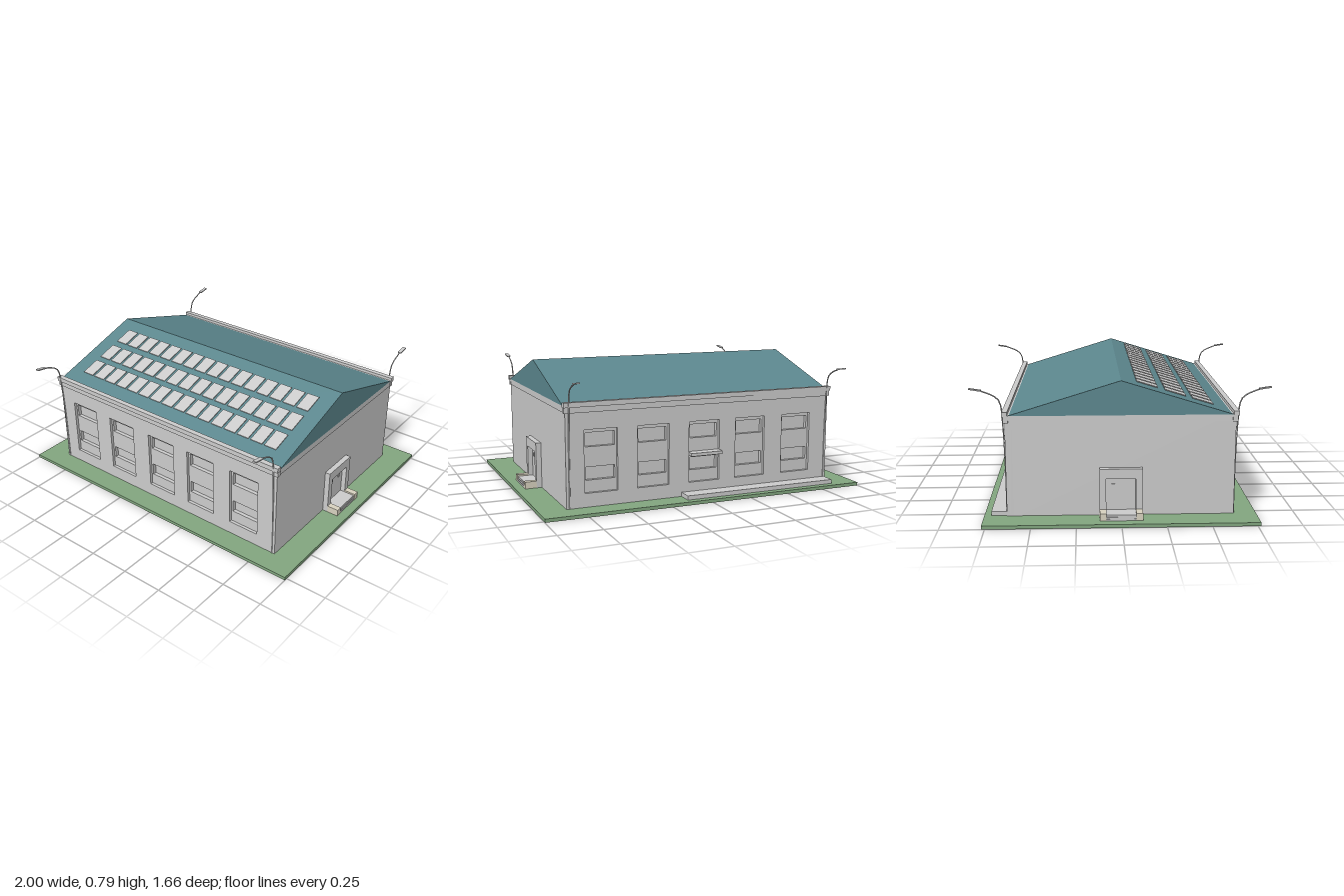
import * as THREE from 'three';

const mat = (color) => new THREE.MeshStandardMaterial({ color, flatShading: true });
const grey = mat(0xcccccc);
const green = mat(0x82a67f);
const teal = mat(0x5c878e);
const beige = mat(0xd8d2c0);

function add(parent, name, geometry, material = grey) {
  const mesh = new THREE.Mesh(geometry, material);
  mesh.name = name;
  parent.add(mesh);
  return mesh;
}

// Box given by its minimum and maximum corners
function box(parent, name, x0, x1, y0, y1, z0, z1, material = grey) {
  const mesh = add(parent, name, new THREE.BoxGeometry(x1 - x0, y1 - y0, z1 - z0), material);
  mesh.position.set((x0 + x1) / 2, (y0 + y1) / 2, (z0 + z1) / 2);
  return mesh;
}

const rect = (Type, x0, x1, y0, y1) => new Type([
  new THREE.Vector2(x0, y0), new THREE.Vector2(x1, y0),
  new THREE.Vector2(x1, y1), new THREE.Vector2(x0, y1),
]);

// Wall sheet with rectangular openings, each [x0, x1, y0, y1]
function sheet(w, y0, y1, openings, depth) {
  const shape = rect(THREE.Shape, -w, w, y0, y1);
  for (const o of openings) shape.holes.push(rect(THREE.Path, ...o));
  return new THREE.ExtrudeGeometry(shape, { depth, bevelEnabled: false });
}

const WALL_X = 0.842, WALL_TOP = 0.6, RIDGE = 0.79, EAVE_Z = 0.625, EAVE_Y = 0.597;
const SLOPE = Math.atan2(RIDGE - EAVE_Y, EAVE_Z);
const windowCentres = [-0.637, -0.322, 0, 0.302, 0.618];

// Long wall: outer sheet with bays, inner sheet with two panes per bay, cornice
function longWall() {
  const g = new THREE.Group();
  g.name = 'longWall';
  const bays = windowCentres.map((c) => [c - 0.098, c + 0.098, 0.1, 0.46]);
  const panes = windowCentres.flatMap((c) => [
    [c - 0.086, c + 0.086, 0.17, 0.245], [c - 0.086, c + 0.086, 0.36, 0.44],
  ]);
  add(g, 'outerWall', sheet(WALL_X, 0, WALL_TOP, bays, 0.018)).position.z = 0.622;
  add(g, 'windowPanels', sheet(WALL_X, 0, WALL_TOP, panes, 0.022)).position.z = 0.6;
  box(g, 'corniceBand', -0.85, 0.85, 0.558, 0.597, 0.62, 0.648);
  box(g, 'gutter', -0.853, 0.853, 0.59, 0.618, 0.624, 0.655);
  return g;
}

// Street lamp at a corner, curving away from the wall
function lamp() {
  const g = new THREE.Group();
  g.name = 'lamp';
  const path = new THREE.CatmullRomCurve3([
    [0.01, 0.641], [0.3, 0.642], [0.55, 0.65], [0.66, 0.66], [0.69, 0.675], [0.715, 0.715], [0.736, 0.77],
  ].map(([y, z]) => new THREE.Vector3(0, y, z)));
  add(g, 'lampPole', new THREE.TubeGeometry(path, 28, 0.004, 6));
  const head = add(g, 'lampHead', new THREE.BoxGeometry(0.022, 0.007, 0.066));
  head.position.set(0, 0.741, 0.797);
  head.rotation.x = -0.16;
  return g;
}

// Side entrance facing +x: portal, double door, steps and cheek blocks
function entrance() {
  const g = new THREE.Group();
  g.name = 'entrance';
  for (const s of [-1, 1]) {
    const z0 = s < 0 ? -0.12 : 0.083, z1 = s < 0 ? -0.083 : 0.12;
    box(g, 'portalPost', 0.835, 0.874, 0.02, 0.297, z0, z1);
    box(g, 'cheekBlock', 0.874, 0.945, 0.02, 0.062, z0, z1, beige);
    box(g, 'doorWindow', 0.84, 0.849, 0.18, 0.204, s * 0.042 - 0.01, s * 0.042 + 0.01);
  }
  box(g, 'portalLintel', 0.835, 0.874, 0.24, 0.297, -0.083, 0.083);
  box(g, 'door', 0.835, 0.845, 0.05, 0.24, -0.083, 0.083);
  [0.03, 0.04, 0.052].forEach((top, i) => {
    box(g, 'step', 0.835, 0.944 - i * 0.003, 0.018, top, -0.083, 0.083);
  });
  return g;
}

export function createModel() {
  const model = new THREE.Group();
  model.name = 'hallBuilding';

  box(model, 'ground', -1, 1, 0, 0.02, -0.768, 0.768, green);
  box(model, 'wallCore', -WALL_X, WALL_X, 0.005, WALL_TOP - 0.005, -0.6, 0.6);
  box(model, 'gableBand', -0.847, 0.847, 0.56, 0.597, -0.63, 0.63);

  // Gabled roof prism
  const gable = new THREE.Shape([
    new THREE.Vector2(-EAVE_Z, EAVE_Y), new THREE.Vector2(EAVE_Z, EAVE_Y), new THREE.Vector2(0, RIDGE),
  ]);
  const roofGeo = new THREE.ExtrudeGeometry(gable, { depth: 1.696, bevelEnabled: false });
  roofGeo.translate(0, 0, -0.848).rotateY(Math.PI / 2);
  add(model, 'roof', roofGeo, teal);

  // Solar panels on the front slope
  const solar = new THREE.Group();
  solar.name = 'solarPanels';
  model.add(solar);
  const panelGeo = new THREE.BoxGeometry(0.078, 0.005, 0.124);
  for (const z of [0.15, 0.31, 0.465]) {
    for (let i = 0; i < 16; i++) {
      const panel = add(solar, 'solarPanel', panelGeo);
      panel.position.set(-0.705 + i * 0.0944, RIDGE - z * Math.tan(SLOPE) + 0.005, z);
      panel.rotation.x = SLOPE;
    }
  }

  // Front and back, left and right
  for (const turn of [0, Math.PI]) {
    const wall = longWall();
    wall.rotation.y = turn;
    // The rear bays line up with the front ones
    if (turn) {
      wall.rotation.y = Math.PI;
    }
    model.add(wall);

    const door = entrance();
    door.rotation.y = turn;
    model.add(door);

    for (const x of [-0.828, 0.823]) {
      const post = lamp();
      post.rotation.y = turn;
      post.position.x = x;
      model.add(post);
    }
  }

  // Rear platform and canopy
  box(model, 'rearPlatform', -0.835, 0.145, 0.015, 0.045, -0.728, -0.63);
  box(model, 'rearCanopy', -0.1, 0.1, 0.262, 0.28, -0.68, -0.6);

  return model;
}
